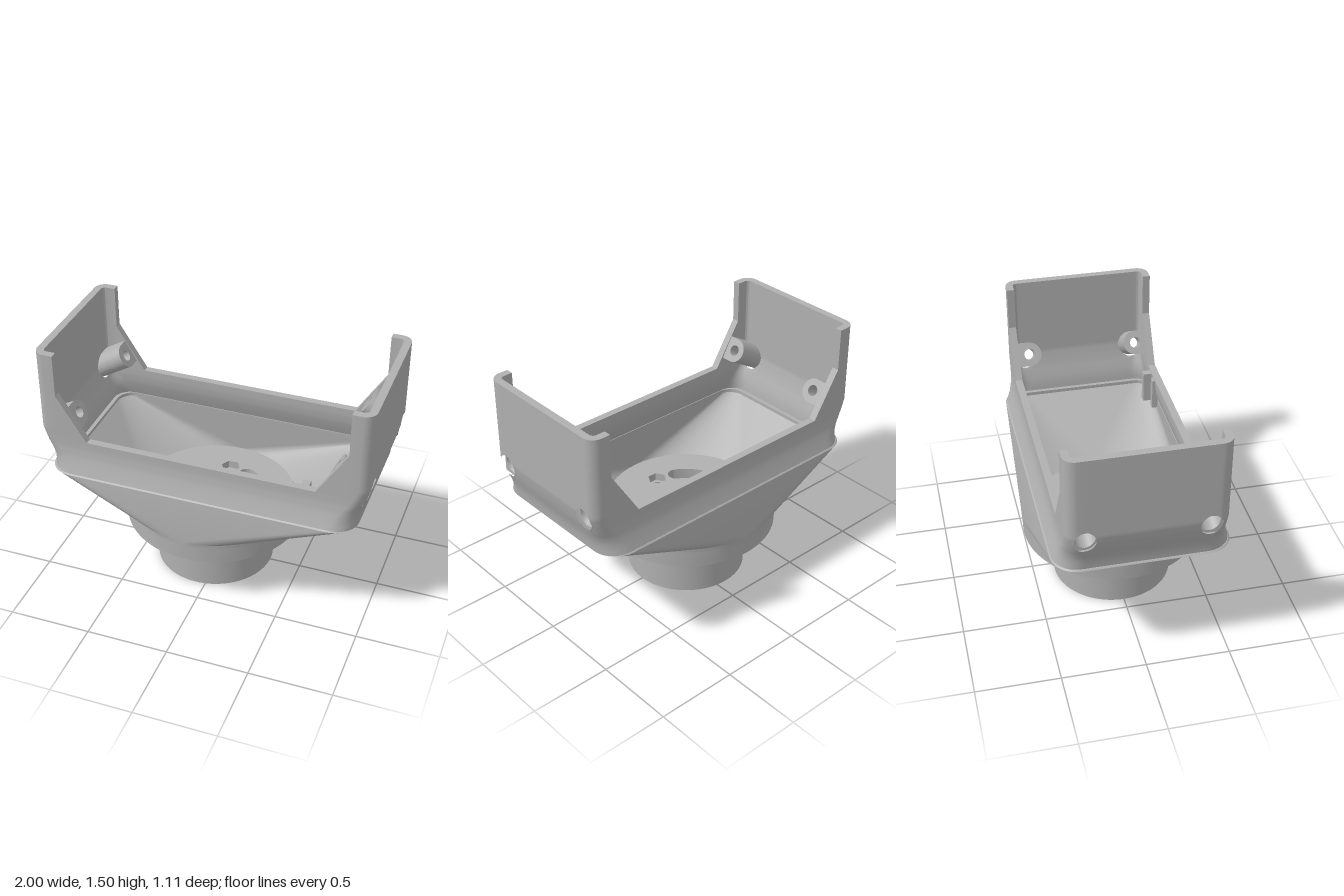
import * as THREE from 'three';
import { toCreasedNormals } from 'three/addons/utils/BufferGeometryUtils.js';

const CX = -0.06; // the round foot sits slightly off centre

// Columns around a rounded rectangle: corner signs (or fractions), normal angle, wall top height
function makeColumns() {
  const half = [];
  const arc = (sx, start) => {
    for (let i = 0; i <= 12; i++) half.push({ sx, sz: 1, a: start + (i / 12) * Math.PI / 2, top: 1.505 });
  };
  arc(1, 0);
  const flat = [[0.941, 1.505], [0.941, 1.24], [0.763, 0.955], [-0.763, 0.955], [-0.941, 1.24], [-0.941, 1.505]];
  for (const [sx, top] of flat) half.push({ sx, sz: 1, a: Math.PI / 2, top });
  arc(-1, Math.PI / 2);
  for (const s of [1, -1]) {
    for (let i = 0; i < 8; i++) {
      const f = s > 0 ? 0.95 - i * 0.05 : 0.6 + i * 0.05;
      half.push({ sx: -1, sz: s * f, a: Math.PI, top: 1.505 });
    }
  }
  const other = half.map(c => ({ sx: -c.sx, sz: -c.sz, a: c.a + Math.PI, top: c.top }));
  return [...half, ...other];
}
const columns = makeColumns();

// Point of a column on a section { x0, x1, z, r }
function sectionPoint(c, s, y) {
  const cx = (s.x0 + s.x1) / 2, a = (s.x1 - s.x0) / 2 - s.r, b = s.z - s.r;
  return {
    p: new THREE.Vector3(cx + c.sx * a + s.r * Math.cos(c.a), y, c.sz * b + s.r * Math.sin(c.a)),
    cut: false,
  };
}
const circle = (r) => ({ x0: CX - r, x1: CX + r, z: r, r });

// Skin the rows of points; cells lying inside a drilled opening are left out
function skin(rowCount, pointAt) {
  const pts = columns.map(c => Array.from({ length: rowCount }, (_, j) => pointAt(c, j)));
  const pos = [];
  const tri = (a, b, c) => {
    if (a.cut && b.cut && c.cut) return;
    const area = new THREE.Vector3().subVectors(b.p, a.p)
      .cross(new THREE.Vector3().subVectors(c.p, a.p)).length();
    if (area < 1e-8) return;
    for (const v of [a, b, c]) pos.push(v.p.x, v.p.y, v.p.z);
  };
  for (let i = 0; i < pts.length; i++) {
    const A = pts[i], B = pts[(i + 1) % pts.length];
    for (let j = 0; j < rowCount - 1; j++) {
      tri(A[j], A[j + 1], B[j]);
      tri(B[j], A[j + 1], B[j + 1]);
    }
  }
  const g = new THREE.BufferGeometry();
  g.setAttribute('position', new THREE.Float32BufferAttribute(pos, 3));
  return toCreasedNormals(g, 0.45);
}

// Flared upper wall: half width, half depth and corner radius by height
const wallKeys = [
  [0.735, 0.938, 0.507, 0.15], [0.8, 0.945, 0.482, 0.14], [0.85, 0.96, 0.467, 0.12],
  [0.9, 0.977, 0.459, 0.095], [0.95, 0.99, 0.457, 0.08], [1.0, 1.0, 0.457, 0.07], [1.6, 1.0, 0.457, 0.07],
];
function wallSection(y, inset) {
  let k = 0;
  while (k < wallKeys.length - 2 && y > wallKeys[k + 1][0]) k++;
  const A = wallKeys[k], B = wallKeys[k + 1], t = (y - A[0]) / (B[0] - A[0]);
  const [x, z, r] = [1, 2, 3].map(i => A[i] + (B[i] - A[i]) * t - inset);
  return { x0: -x, x1: x, z, r };
}

// Screw openings in the side walls: points inside slide out to the rim of the opening
function drill(v) {
  const { p } = v;
  if (Math.abs(p.x) < 0.85) return v;
  const dz = Math.abs(p.z) - 0.35, dy = p.y - 0.968;
  const d = Math.hypot(dz / 0.063, dy / 0.071);
  if (d < 1) {
    v.cut = true;
    const k = 1 / Math.max(d, 0.01);
    p.y = 0.968 + dy * k;
    p.z = Math.sign(p.z) * (0.35 + dz * k);
  }
  return v;
}

function wallGeometry() {
  const levels = [0.735, 0.76, 0.8, 0.83];
  for (let y = 0.85; y < 1.09; y += 0.015) levels.push(y);
  levels.push(1.24, 1.505);
  const n = levels.length;
  return skin(n * 2, (c, j) => {
    const inner = j >= n;
    const y = Math.min(levels[inner ? 2 * n - 1 - j : j], c.top);
    return drill(sectionPoint(c, wallSection(y, inner ? 0.045 : 0), y));
  });
}

// Hopper: round at the foot, rectangular at the top, hollow inside
function hopperGeometry() {
  const rows = [
    [0.335, circle(0.55)], [0.435, circle(0.55)], [0.437, circle(0.555)], [0.46, circle(0.556)],
    [0.735, { x0: -0.952, x1: 0.938, z: 0.513, r: 0.155 }],
    [0.742, { x0: -0.945, x1: 0.932, z: 0.505, r: 0.15 }],
    [0.742, { x0: -0.87, x1: 0.87, z: 0.455, r: 0.1 }],
    [0.72, { x0: -0.87, x1: 0.87, z: 0.455, r: 0.1 }],
    [0.45, circle(0.49)],
  ];
  return skin(rows.length, (c, j) => sectionPoint(c, rows[j][1], rows[j][0]));
}

function ngon(x, y, r, sides) {
  const path = new THREE.Path();
  for (let i = 0; i <= sides; i++) {
    const a = -(i / sides) * Math.PI * 2;
    path[i ? 'lineTo' : 'moveTo'](x + r * Math.cos(a), y + r * Math.sin(a));
  }
  return path;
}

// Curved slot around the foot's axis
function curvedSlot(from, to) {
  const path = new THREE.Path(), R = 0.262, w = 0.053;
  const at = a => [CX + R * Math.cos(a), R * Math.sin(a)];
  path.absarc(CX, 0, R + w, from, to, false);
  path.absarc(...at(to), w, to, to + Math.PI, false);
  path.absarc(CX, 0, R - w, to, from, true);
  path.absarc(...at(from), w, from + Math.PI, from + Math.PI * 2, false);
  return path;
}

// Round plate with bolt holes (or hexagonal nut pockets) and two curved slots
function plateGeometry(radius, y0, y1, pockets) {
  const shape = new THREE.Shape().absarc(CX, 0, radius, 0, Math.PI * 2, false);
  const sides = pockets ? 6 : 24;
  shape.holes.push(ngon(CX, 0, pockets ? 0.085 : 0.053, sides));
  for (const [x, z] of [[0.275, 0], [-0.275, 0], [0, 0.275], [0, -0.275]])
    shape.holes.push(ngon(CX + x, z, pockets ? 0.06 : 0.034, sides));
  const deg = Math.PI / 180;
  shape.holes.push(curvedSlot(-62 * deg, -30 * deg), curvedSlot(118 * deg, 150 * deg));
  const g = new THREE.ExtrudeGeometry(shape, { depth: y1 - y0, bevelEnabled: false, curveSegments: 48 });
  g.rotateX(Math.PI / 2).translate(0, y1, 0);
  return toCreasedNormals(g, 0.45);
}

// Screw boss piece, square to the sloped rim, reaching from depth t0 to t1 along its axis
function bossGeometry(sx, sz, t0, t1, hole, toWall) {
  const R = 0.075;
  const shape = new THREE.Shape();
  shape.moveTo(R, 0).lineTo(R, R).lineTo(-R, R).lineTo(-R, 0);
  shape.absarc(0, 0, R, Math.PI, Math.PI * 2, false);
  shape.holes.push(ngon(0, 0, hole, 28));
  const g = new THREE.ExtrudeGeometry(shape, { depth: t1 - t0, bevelEnabled: false, curveSegments: 16 });
  g.translate(0, 0, t0);
  const p = g.attributes.position;
  for (let i = 0; toWall && i < p.count; i++) {
    // end face follows the upright side wall
    if (p.getZ(i) > t1 - 1e-4) p.setZ(i, (0.962 - 0.785 - 0.5 * sx * sz * p.getX(i)) / 0.866);
  }
  const w = new THREE.Vector3(0.866 * sx, -0.5, 0), v = new THREE.Vector3(0, 0, sz);
  const u = new THREE.Vector3().crossVectors(v, w);
  g.applyMatrix4(new THREE.Matrix4().makeBasis(u, v, w).setPosition(0.785 * sx, 1.0845, 0.345 * sz));
  return toCreasedNormals(g, 0.45);
}

export function createModel() {
  const group = new THREE.Group();
  const grey = new THREE.MeshStandardMaterial({ color: 0xb0b0b0 });
  grey.name = 'plainGrey';
  const add = (name, geometry) => {
    const mesh = new THREE.Mesh(geometry, grey);
    mesh.name = name;
    group.add(mesh);
    return mesh;
  };

  // Round foot and floor
  add('foot', plateGeometry(0.365, 0, 0.315, false));
  add('footCollar', plateGeometry(0.412, 0.315, 0.33, false));
  add('flange', plateGeometry(0.549, 0.33, 0.4, false));
  add('nutFloor', plateGeometry(0.5, 0.4, 0.45, true));

  // Body
  add('hopper', hopperGeometry());
  add('upperWall', wallGeometry());

  // Screw bosses in the four corners
  for (const sx of [1, -1]) for (const sz of [1, -1]) {
    add('screwBoss', bossGeometry(sx, sz, 0, 0.1, 0.034, false));
    add('screwRecess', bossGeometry(sx, sz, 0.1, 0.2, 0.062, true));
  }

  // Two small ribs on the inside of the front wall
  for (const [x, depth] of [[0.532, 0.035], [0.624, 0.07]])
    add('rib', new THREE.BoxGeometry(0.045, 0.2, depth)).position.set(x, 0.85, 0.43 - depth / 2);

  return group;
}
